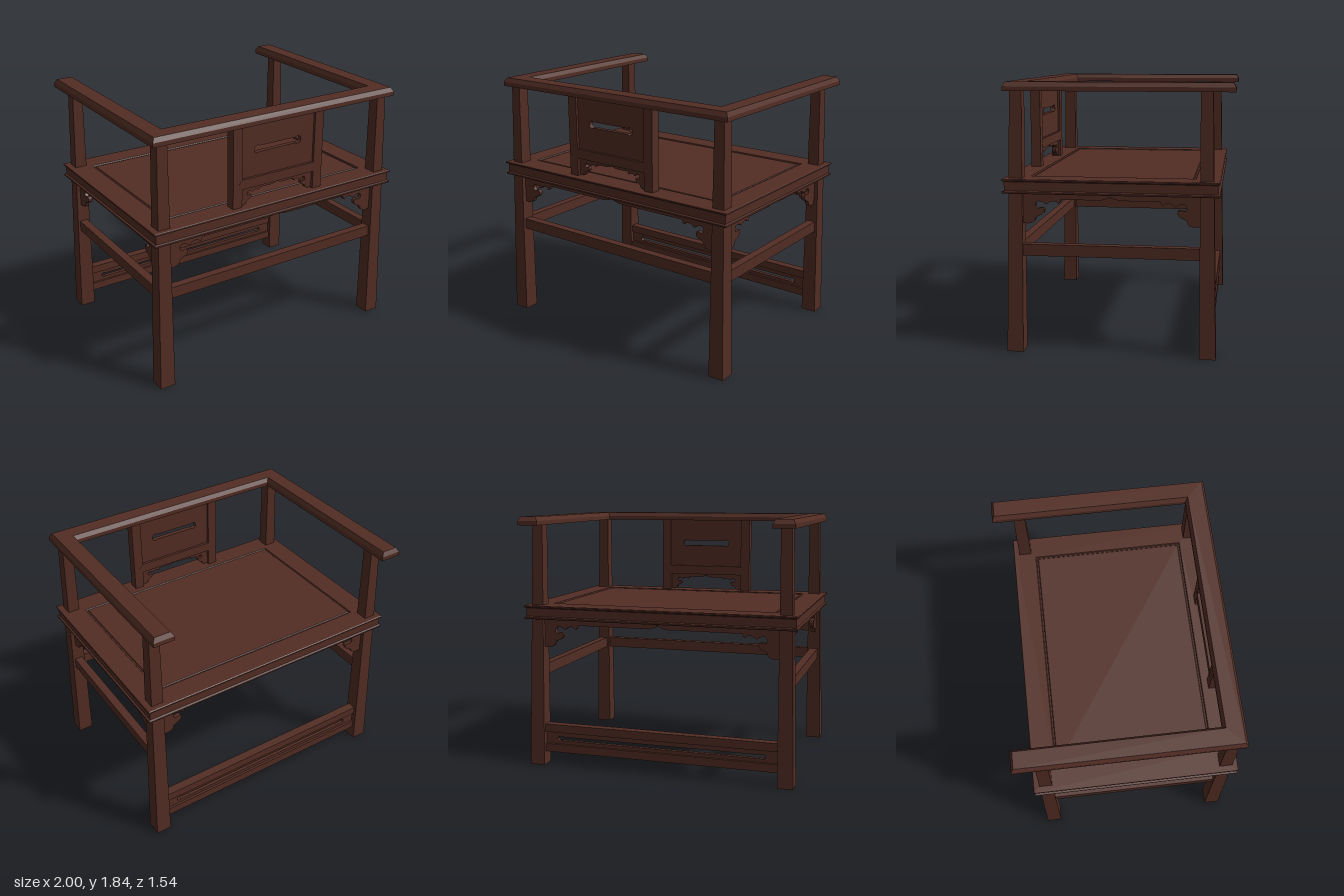
import * as THREE from 'three';

const wood = new THREE.MeshStandardMaterial({ color: 0x522d24 });
wood.name = 'dark rosewood';

// Stacks outlines [y, [[x, z], ...]] into a closed flat-faced solid
function loft(levels) {
  const pos = [];
  const put = (y, p) => pos.push(p[0], y, p[1]);
  for (let k = 0; k + 1 < levels.length; k++) {
    const [ya, a] = levels[k], [yb, b] = levels[k + 1];
    a.forEach((p, i) => {
      const j = (i + 1) % a.length;
      put(ya, p); put(ya, a[j]); put(yb, b[j]);
      put(ya, p); put(yb, b[j]); put(yb, b[i]);
    });
  }
  const cap = ([y, pts], up) => {
    const v = pts.map(([x, z]) => new THREE.Vector2(x, -z));
    for (const [a, b, c] of THREE.ShapeUtils.triangulateShape(v, [])) {
      const ccw = v[b].clone().sub(v[a]).cross(v[c].clone().sub(v[a])) > 0;
      const order = ccw === up ? [a, b, c] : [a, c, b];
      order.forEach(i => put(y, pts[i]));
    }
  };
  cap(levels[0], false);
  cap(levels[levels.length - 1], true);
  const geo = new THREE.BufferGeometry();
  geo.setAttribute('position', new THREE.Float32BufferAttribute(pos, 3));
  geo.computeVertexNormals();
  return geo;
}

const rect = (x0, x1, z0, z1) => [[x0, z0], [x0, z1], [x1, z1], [x1, z0]];

// Moves a right-angled outline inward by d
function inset(pts, d) {
  const n = pts.length;
  const normal = (p, q) => [Math.sign(q[1] - p[1]), -Math.sign(q[0] - p[0])];
  return pts.map((p, i) => {
    const a = normal(pts[(i + n - 1) % n], p), b = normal(p, pts[(i + 1) % n]);
    return [p[0] + d * (a[0] + b[0]), p[1] + d * (a[1] + b[1])];
  });
}

// Extrudes a shape with its thickness centred on z = 0
function plate(shape, t) {
  const geo = new THREE.ExtrudeGeometry(shape, { depth: t, bevelEnabled: false, curveSegments: 10 });
  return geo.translate(0, 0, -t / 2);
}

// Long slot with round bulbs at its ends
function slot(half, r, h, y) {
  const c = half - r, a = Math.asin(h / r), p = new THREE.Path();
  p.absarc(c, y, r, a - Math.PI, Math.PI - a, false);
  p.absarc(-c, y, r, a, 2 * Math.PI - a, false);
  p.closePath();
  return p;
}

function slottedPanel(w, y0, y1, hole, t) {
  const s = new THREE.Shape([[-w, y0], [w, y0], [w, y1], [-w, y1]].map(p => new THREE.Vector2(...p)));
  s.holes.push(hole);
  return plate(s, t);
}

// Scrolled bracket edge: arcs meeting at cusps, as [distance from post, drop]
const SCROLL = [
  [[.26, -.045], [.255, -.065], [.245, -.075]],
  [[.245, -.075], [.225, -.059], [.19, -.06], [.16, -.08]],
  [[.16, -.08], [.135, -.063], [.1, -.06], [.085, -.085], [.1, -.106], [.125, -.1]],
  [[.125, -.1], [.144, -.105], [.146, -.13], [.125, -.152]],
  [[.125, -.152], [.105, -.158], [.085, -.172]],
  [[.085, -.172], [.078, -.193], [.05, -.21], [-.015, -.21]],
];

// Apron with centre notch and a scrolled bracket at each end; top edge at y = 0
function apron(half, k, t) {
  const edge = [];
  const arc = pts => edge.push(...new THREE.CatmullRomCurve3(
    pts.map(([x, y]) => new THREE.Vector3(x, y, 0))).getPoints(pts.length * 3).map(v => [v.x, v.y]));
  arc([[0, -.01], [.012, -.027], [.035, -.037], [.065, -.045]].map(p => [p[0] * k, p[1] * k]));
  SCROLL.forEach(s => arc(s.map(([u, y]) => [half - u * k, y * k])));
  edge.push([half + .015 * k, 0]);
  const left = edge.slice(1).reverse().map(([x, y]) => [-x, y]);
  const all = [...left, ...edge].filter((p, i, l) =>
    i === 0 || Math.hypot(p[0] - l[i - 1][0], p[1] - l[i - 1][1]) > 1e-5);
  return plate(new THREE.Shape(all.map(p => new THREE.Vector2(...p))), t);
}

export function createModel() {
  const model = new THREE.Group();
  const add = (name, geo, x = 0, y = 0, z = 0, turn = 0) => {
    const m = new THREE.Mesh(geo, wood);
    m.name = name;
    m.position.set(x, y, z);
    m.rotation.y = turn;
    model.add(m);
    return m;
  };
  const box = (name, w, h, d, x, y, z) => add(name, new THREE.BoxGeometry(w, h, d), x, y, z);

  // Tapered legs running on through the seat as arm posts
  for (const s of [-1, 1]) {
    const legRect = (a, b, z0, z1) => rect(Math.min(s * a, s * b), Math.max(s * a, s * b), z0, z1);
    add('backrestLeg', loft([[0, legRect(.877, .99, .648, .76)], [1.79, legRect(.865, .94, .636, .718)]]));
    add('openSideLeg', loft([[0, legRect(.877, .99, -.667, -.556)], [1.79, legRect(.865, .94, -.624, -.544)]]));
  }

  // Seat: moulded frame edge with a sunken panel above and below
  const seat = rect(-1, 1, -.68, .77);
  const profile = [
    [1.135, .17], [1.1, .165], [1.1, .006], [1.104, 0], [1.114, 0], [1.12, .013], [1.18, .013],
    [1.187, 0], [1.196, 0], [1.2, .006], [1.2, .165], [1.192, .17], [1.192, .18], [1.197, .185],
  ];
  add('seat', loft(profile.map(([y, d]) => [y, inset(seat, d)])));

  // Scrolled aprons under the seat
  const midZ = .048;
  add('backrestApron', apron(.87, 1, .03), 0, 1.102, .69);
  add('openSideApron', apron(.87, 1, .03), 0, 1.102, -.6);
  for (const s of [-1, 1]) {
    add('sideApron', apron(.595, 1, .03), s * .92, 1.102, midZ, Math.PI / 2);
    box('sideStretcher', .06, .08, 1.23, s * .922, .71, midZ);
  }
  box('backrestStretcher', 1.78, .08, .06, 0, .71, .692);

  // Low slotted foot rail on the open side
  box('footRailTop', 1.78, .06, .065, 0, .28, -.605);
  box('footRailBottom', 1.78, .06, .065, 0, .13, -.605);
  add('footRailPanel', slottedPanel(.88, .15, .26, slot(.785, .019, .014, .2), .03), 0, 0, -.605);

  // U-shaped top rail with chamfered upper edges
  const u = [[-.985, -.77], [-.985, .755], [.985, .755], [.985, -.77],
    [.835, -.77], [.835, .605], [-.835, .605], [-.835, -.77]];
  add('armAndBackRail', loft([[1.78, u], [1.81, u], [1.84, inset(u, .018)]]));

  // Framed back splat
  const backZ = .685;
  for (const s of [-1, 1]) box('splatStile', .073, .6, .07, s * .3375, 1.49, backZ);
  add('splatPanel', slottedPanel(.31, 1.38, 1.79, slot(.195, .027, .021, 1.59), .035), 0, 0, backZ);
  const rail = [[-.3, 1.33], [.3, 1.33], [.335, 1.365], [.3, 1.4], [-.3, 1.4], [-.335, 1.365]];
  add('splatCrossRail', plate(new THREE.Shape(rail.map(p => new THREE.Vector2(...p))), .073), 0, 0, backZ);
  add('splatApron', apron(.3, .6, .03), 0, 1.332, backZ);

  return model;
}
